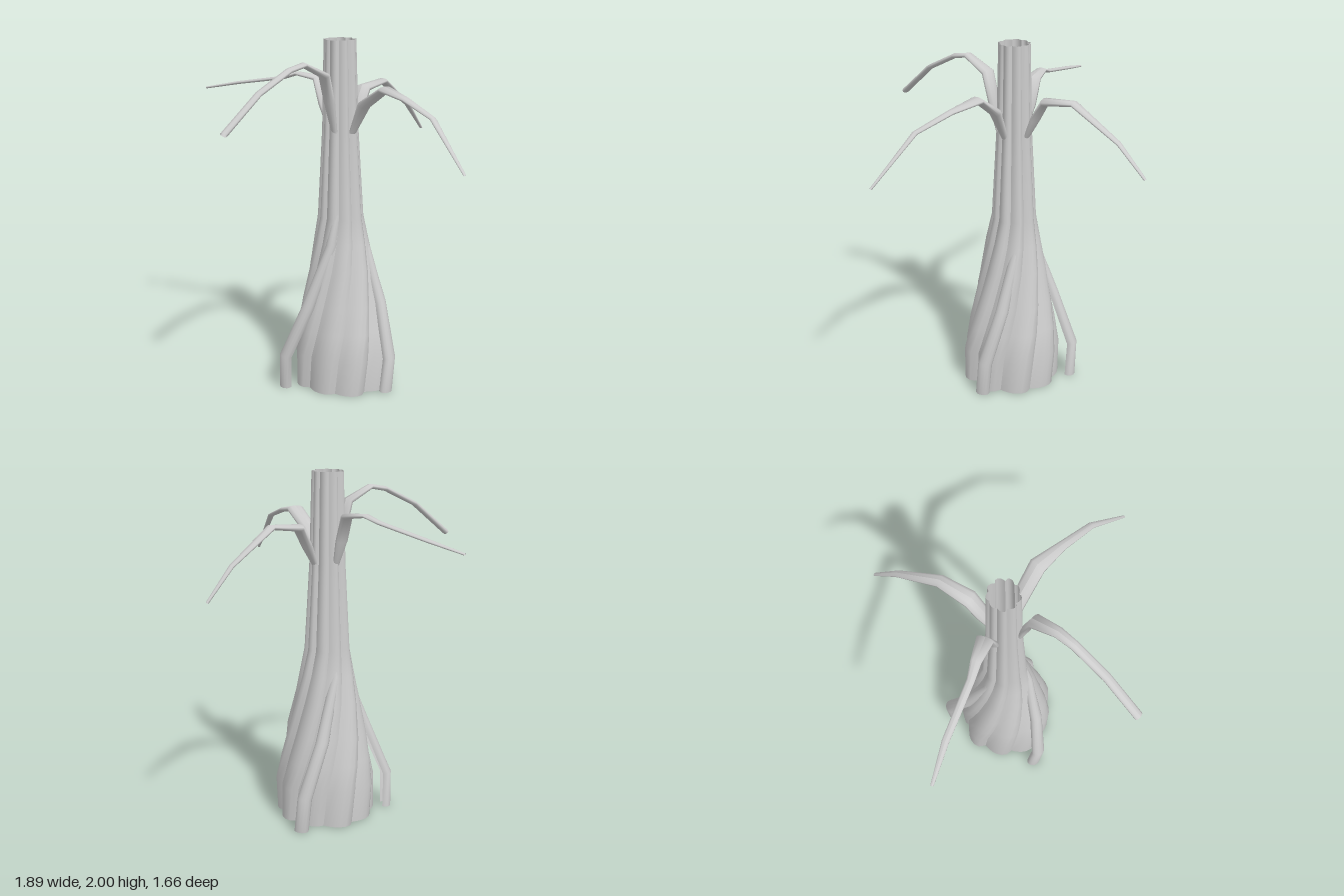
import * as THREE from 'three';

const material = new THREE.MeshStandardMaterial({ color: 0xcccccc, side: THREE.DoubleSide });
const Y = new THREE.Vector3(0, 1, 0);

// Grid surface from rows of equally many points
function skin(rows, name) {
  const n = rows[0].length, index = [];
  for (let i = 0; i < rows.length - 1; i++) {
    for (let j = 0; j < n - 1; j++) {
      const a = i * n + j, b = a + n;
      index.push(a, b, a + 1, a + 1, b, b + 1);
    }
  }
  const g = new THREE.BufferGeometry().setFromPoints(rows.flat());
  g.setIndex(index);
  g.computeVertexNormals();
  const mesh = new THREE.Mesh(g, material);
  mesh.name = name;
  return mesh;
}

// Curved strip swept along a path; stations are [x, y, z, halfWidth, bulge].
// wrap continues the cross-section beyond a half ellipse (PI / 2 closes it).
function sweep(stations, sideAt, wrap, name) {
  const pts = stations.map(s => new THREE.Vector3(s[0], s[1], s[2]));
  const steps = 10;
  const rows = pts.map((p, i) => {
    const t = pts[Math.min(i + 1, pts.length - 1)].clone().sub(pts[Math.max(i - 1, 0)]).normalize();
    const side = sideAt(p);
    const out = side.clone().cross(t).normalize();
    const [, , , w, d] = stations[i];
    return Array.from({ length: steps + 1 }, (_, k) => {
      const f = -wrap + (Math.PI + 2 * wrap) * k / steps;
      return p.clone().addScaledVector(side, w * Math.cos(f)).addScaledVector(out, d * Math.sin(f));
    });
  });
  return skin(rows, name);
}

export function createModel() {
  const model = new THREE.Group();

  // Trunk: open fluted tube, flared and twisted towards the base;
  // [y, radius, twist in degrees, fold depth, x offset]
  const profile = [[0, 0.287, 46, 0.13, 0.012], [0.2, 0.292, 41, 0.13, 0.012], [0.35, 0.265, 33, 0.13, 0.006],
    [0.5, 0.233, 25, 0.13, 0], [0.7, 0.19, 14, 0.14, -0.002], [0.85, 0.158, 6, 0.15, -0.004],
    [1, 0.13, 0, 0.16, -0.006], [1.5, 0.102, 0, 0.17, -0.008], [2, 0.09, 0, 0.17, -0.01]];
  const trunk = new THREE.Group();
  trunk.name = 'trunk';
  const lobes = 9, steps = 6;
  const fullness = [1.02, 0.96, 1, 0.97, 1.01, 0.95, 0.98, 1, 1.02];
  for (let l = 0; l < lobes; l++) {
    const rows = profile.map(([y, r, twist, depth, cx]) => Array.from({ length: steps + 1 }, (_, k) => {
      const u = k / steps;
      const a = (l + u) / lobes * Math.PI * 2 + THREE.MathUtils.degToRad(twist) - 0.35;
      const bulge = Math.sin(Math.PI * Math.pow(u, 0.7));
      const rr = r * (1 - depth + (fullness[l] - 1 + depth) * bulge);
      return new THREE.Vector3(rr * Math.cos(a) + cx, y, rr * Math.sin(a) - 0.008);
    }));
    trunk.add(skin(rows, 'trunkFlute'));
  }
  model.add(trunk);

  // Roots: three curled strips peeling away from the flare; [y, radius, turn, halfWidth]
  const rootPath = [[0, 0.325, 0, 0.042], [0.2, 0.332, -4, 0.042], [0.5, 0.24, -18, 0.038],
    [0.85, 0.125, -43, 0.03], [1.02, 0.08, -52, 0.022]];
  for (const [base, spread] of [[2, 0], [123, 0.02], [249, 0.02]]) {
    const stations = rootPath.map(([y, r, turn, w], i) => {
      const a = THREE.MathUtils.degToRad(base + turn);
      const rr = r + (i < 2 ? spread : 0);
      return [rr * Math.cos(a), y, rr * Math.sin(a), w, 0.034];
    });
    const radialSide = p => Y.clone().cross(new THREE.Vector3(p.x, 0, p.z)).normalize();
    model.add(sweep(stations, radialSide, 0.7, 'root'));
  }

  // Leaves: flattened tapering stalks that rise from the trunk and arch outwards
  const leaves = {
    leftLeaf: [[0.08, 1.49, 0, 0.022, 0.016], [0.165, 1.655, 0.01, 0.046, 0.026],
      [0.31, 1.755, 0.03, 0.05, 0.018], [0.48, 1.725, 0.09, 0.028, 0.012],
      [0.69, 1.66, 0.17, 0.02, 0.01], [0.94, 1.42, 0.275, 0.008, 0.006]],
    rightLeaf: [[-0.085, 1.49, -0.02, 0.022, 0.014], [-0.135, 1.63, -0.025, 0.046, 0.022],
      [-0.18, 1.77, -0.03, 0.048, 0.018], [-0.31, 1.785, -0.015, 0.03, 0.011],
      [-0.4, 1.755, 0, 0.022, 0.01], [-0.72, 1.7, 0.02, 0.02, 0.009], [-0.94, 1.655, 0.055, 0.009, 0.006]],
    frontLeaf: [[0.012, 1.49, 0.075, 0.02, 0.014], [0.005, 1.67, 0.115, 0.042, 0.022],
      [0, 1.82, 0.155, 0.044, 0.02], [-0.03, 1.89, 0.3, 0.032, 0.014], [-0.05, 1.87, 0.4, 0.027, 0.014],
      [-0.095, 1.77, 0.6, 0.026, 0.014], [-0.15, 1.585, 0.82, 0.026, 0.015]],
    backLeaf: [[0.005, 1.49, -0.095, 0.022, 0.014], [0.01, 1.6, -0.15, 0.046, 0.022],
      [0.01, 1.705, -0.21, 0.05, 0.022], [0.025, 1.725, -0.39, 0.037, 0.015],
      [0.03, 1.55, -0.66, 0.021, 0.01], [0.035, 1.38, -0.82, 0.01, 0.007]],
  };
  for (const [name, stations] of Object.entries(leaves)) {
    const a = stations[0], b = stations[stations.length - 1];
    const side = Y.clone().cross(new THREE.Vector3(b[0] - a[0], 0, b[2] - a[2])).normalize();
    model.add(sweep(stations, () => side, Math.PI / 2, name));
  }
  return model;
}
